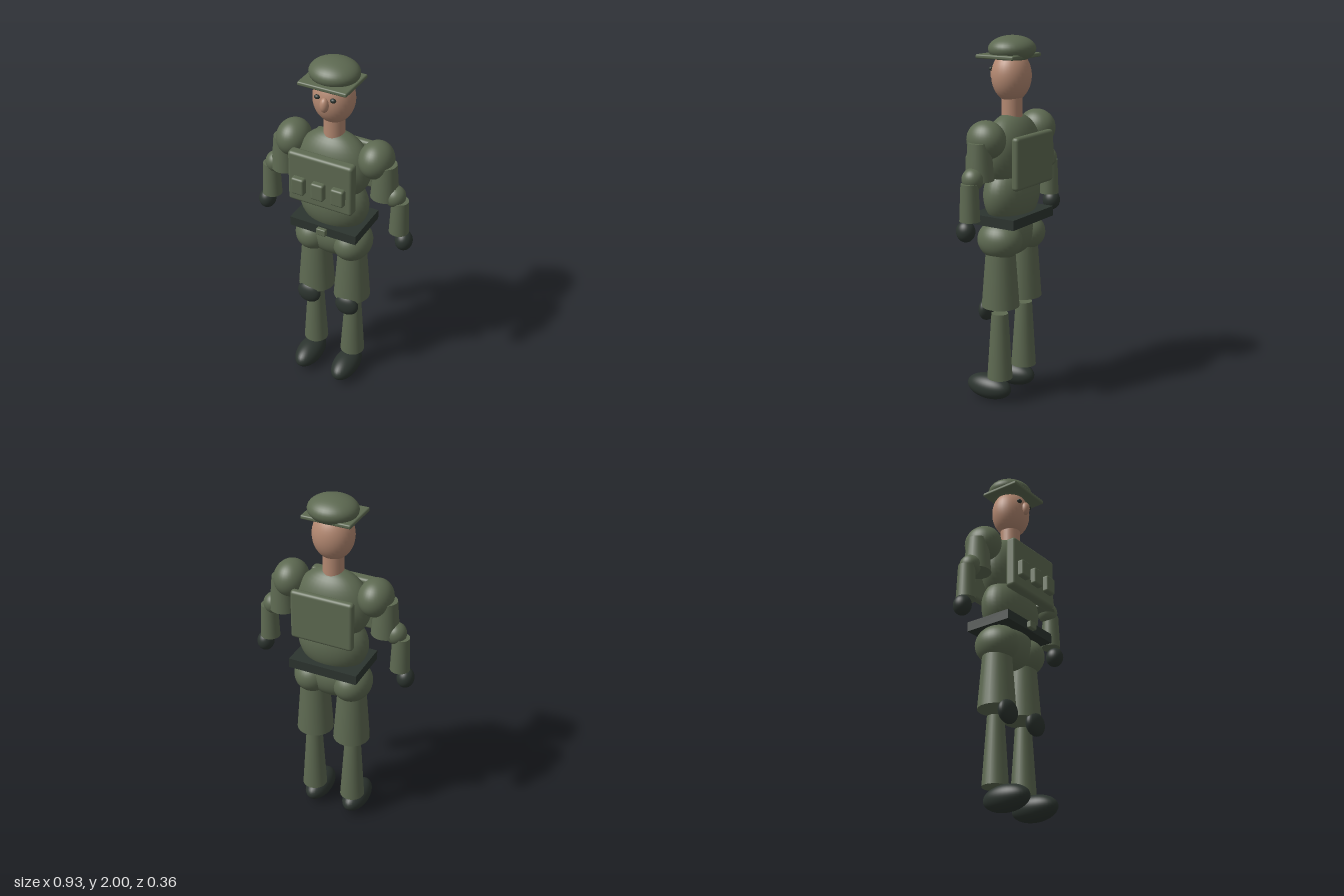
import * as THREE from 'three';
import { RoundedBoxGeometry } from 'three/addons/geometries/RoundedBoxGeometry.js';

const material = (name, color) => {
  const m = new THREE.MeshStandardMaterial({ color });
  m.name = name;
  return m;
};

export function createModel() {
  const model = new THREE.Group();
  model.name = 'standingSoldier';
  const green = material('fieldGreen', 0x5d6951);
  const dark = material('darkGear', 0x2c342f);
  const skin = material('skin', 0xb38871);

  const Z = -0.027; // depth of the body axis

  const add = (name, geometry, mat, [x, y, z]) => {
    const mesh = new THREE.Mesh(geometry, mat);
    mesh.name = name;
    mesh.position.set(x, y, z);
    model.add(mesh);
    return mesh;
  };
  const ball = (name, mat, pos, [rx, ry, rz]) =>
    add(name, new THREE.SphereGeometry(1, 32, 24).scale(rx, ry, rz), mat, pos);
  const tube = (name, mat, [x, z], rTop, rBottom, yTop, yBottom) =>
    add(name, new THREE.CylinderGeometry(rTop, rBottom, yTop - yBottom, 24), mat,
      [x, (yTop + yBottom) / 2, z]);
  const block = (name, mat, pos, [w, h, d], radius = 0) =>
    add(name, radius ? new RoundedBoxGeometry(w, h, d, 3, radius) : new THREE.BoxGeometry(w, h, d), mat, pos);

  // Head and cap
  ball('head', skin, [0, 1.79, -0.024], [0.112, 0.137, 0.104]);
  ball('nose', skin, [0, 1.793, 0.08], [0.024, 0.04, 0.026]);
  tube('neck', skin, [0, Z], 0.056, 0.056, 1.69, 1.56);
  ball('capDome', green, [0, 1.93, -0.028], [0.133, 0.07, 0.122]);
  block('capBrim', green, [0, 1.894, -0.005], [0.274, 0.022, 0.234], 0.008);

  // Torso
  ball('chest', green, [0, 1.395, Z], [0.212, 0.203, 0.126]);
  ball('abdomen', green, [0, 1.165, Z], [0.2, 0.18, 0.127]);
  ball('pelvis', green, [0, 0.945, Z], [0.18, 0.125, 0.105]);

  // Chest rig, pouches and back panel
  block('chestRig', green, [0, 1.358, 0.11], [0.374, 0.296, 0.062], 0.018);
  for (const x of [-0.115, 0, 0.115]) {
    block('pouch', green, [x, 1.322, 0.148], [0.074, 0.098, 0.05], 0.012);
  }
  block('backPanel', green, [0, 1.358, -0.159], [0.354, 0.28, 0.044], 0.018);

  // Belt
  block('belt', dark, [0, 1.041, -0.029], [0.394, 0.054, 0.276]);
  block('buckle', green, [0, 1.041, 0.117], [0.056, 0.04, 0.03], 0.006);

  // Mirrored parts
  for (const s of [-1, 1]) {
    ball('eye', dark, [s * 0.045, 1.825, 0.072], [0.016, 0.012, 0.012]);

    // Arms
    ball('shoulder', green, [s * 0.242, 1.486, -0.03], [0.092, 0.101, 0.107]);
    tube('upperSleeve', green, [s * 0.296, -0.025], 0.06, 0.076, 1.48, 1.285);
    ball('elbow', green, [s * 0.356, 1.3, -0.025], [0.056, 0.059, 0.058]);
    tube('forearm', green, [s * 0.385, -0.025], 0.046, 0.054, 1.282, 1.088);
    ball('hand', dark, [s * 0.417, 1.04, -0.022], [0.047, 0.056, 0.051]);

    // Legs
    ball('hip', green, [s * 0.115, 0.927, Z], [0.107, 0.106, 0.127]);
    tube('thigh', green, [s * 0.112, -0.029], 0.075, 0.103, 0.93, 0.557);
    ball('kneePad', dark, [s * 0.12, 0.528, 0.05], [0.07, 0.066, 0.039]);
    tube('shin', green, [s * 0.12, -0.029], 0.046, 0.07, 0.515, 0.14);
    ball('boot', dark, [s * 0.12, 0.07, 0.043], [0.073, 0.07, 0.138]);
  }
  return model;
}
